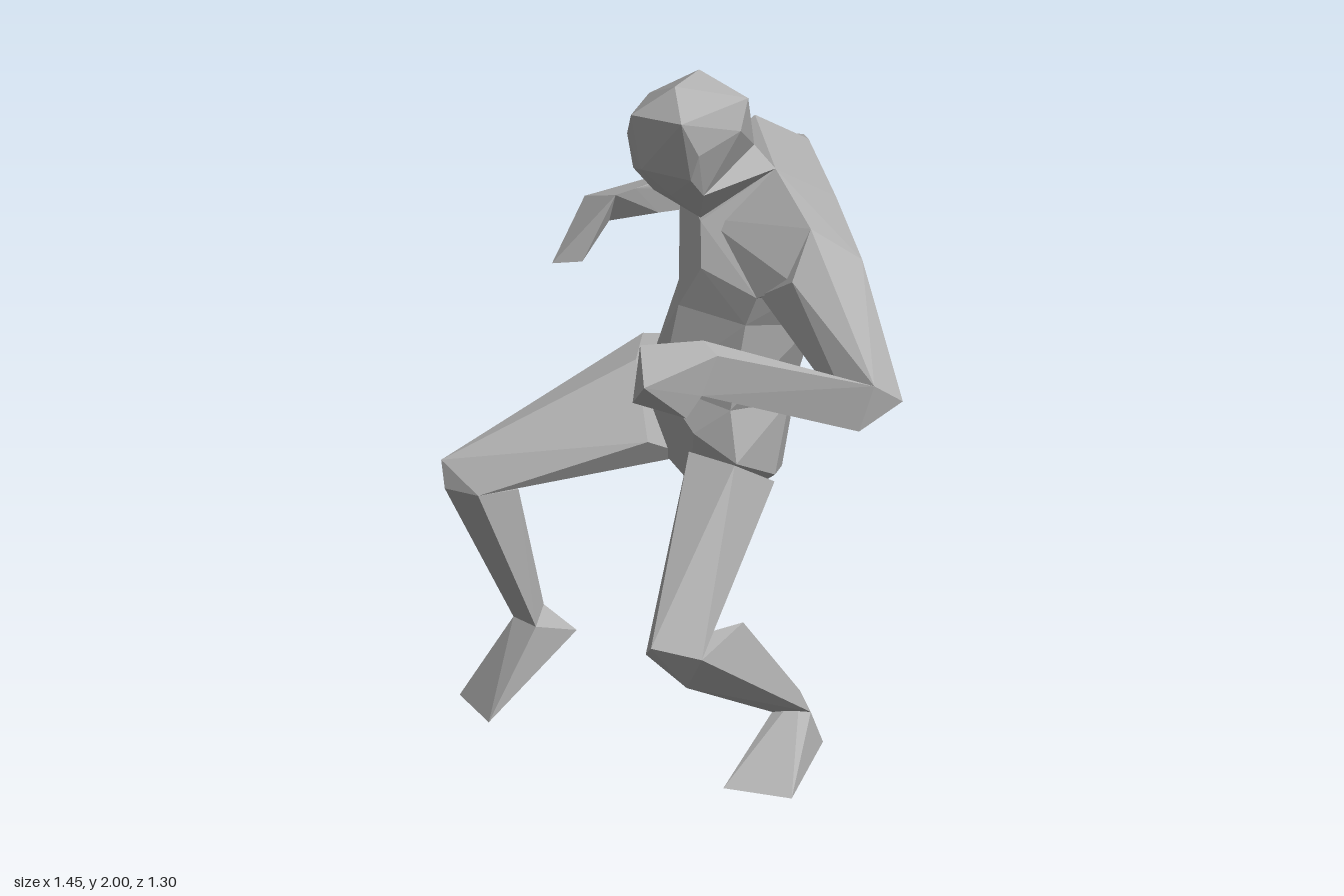
import * as THREE from 'three';
import { ConvexGeometry } from 'three/addons/geometries/ConvexGeometry.js';

export function createModel() {
  const model = new THREE.Group();
  const clay = new THREE.MeshStandardMaterial({ color: 0xb2b2b2, flatShading: true });
  clay.name = 'grey clay';

  // A faceted body part spanning one or more rings of corner points.
  const part = (name, ...rings) => {
    const points = rings.flat().map((p) => new THREE.Vector3(...p));
    const mesh = new THREE.Mesh(new ConvexGeometry(points), clay);
    mesh.name = name;
    model.add(mesh);
  };

  // Head, leaning forward
  const jaw = [[-0.07, 1.65, 0.16], [0.0, 1.66, 0.19], [0.11, 1.69, 0.21], [0.15, 1.77, 0.01], [0.0, 1.75, 0.01]];
  part('head', jaw, [
    [0.04, 2.0, 0.24], [0.04, 2.0, 0.11], [0.2, 1.96, 0.13], [0.1, 1.93, 0.31],
    [0.2, 1.88, 0.17], [-0.1, 1.91, 0.13], [-0.07, 1.91, 0.28], [-0.11, 1.83, 0.23],
    [0.08, 1.9, 0.03], [-0.06, 1.85, 0.04], [-0.13, 1.8, 0.16], [-0.12, 1.71, 0.18],
    [0.13, 1.83, 0.27], [0.16, 1.8, 0.1], [0.1, 1.75, 0.26], [-0.05, 1.75, 0.26],
  ]);
  part('neck', jaw, [
    [-0.08, 1.62, 0.02], [0.05, 1.58, 0.12], [0.22, 1.72, 0.02], [0.04, 1.73, -0.06],
  ]);

  // Torso rings, twisted from shoulders to hips
  const shoulders = [
    [0.22, 1.72, 0.02], [0.01, 1.73, -0.24], [0.3, 1.59, -0.16], [0.5, 1.53, 0.05],
    [0.11, 1.64, -0.35], [0.0, 1.62, -0.37], [-0.13, 1.54, -0.15], [-0.08, 1.62, 0.0],
    [0.05, 1.57, 0.12], [0.08, 1.46, 0.17], [0.26, 1.42, 0.19],
  ];
  const ribs = [
    [-0.12, 1.34, -0.1], [0.0, 1.33, 0.15], [0.22, 1.33, 0.18],
    [0.35, 1.31, 0.05], [0.19, 1.31, -0.27], [-0.05, 1.31, -0.27],
  ];
  const waist = [
    [-0.18, 1.1, -0.05], [-0.12, 1.1, -0.17], [-0.04, 1.1, 0.17], [0.18, 1.08, 0.19],
    [0.25, 1.05, 0.0], [0.19, 1.1, -0.17], [0.0, 1.1, -0.19],
  ];
  const pelvis = [
    [-0.22, 0.95, -0.07], [-0.2, 0.85, -0.03], [0.02, 0.81, 0.12], [0.08, 1.0, 0.21],
    [0.21, 0.94, 0.21], [0.23, 0.85, 0.04], [0.16, 0.8, -0.12], [-0.08, 0.8, -0.12],
    [0.13, 0.77, 0.02],
  ];
  part('chest', shoulders, ribs);
  part('abdomen', ribs, waist);
  part('hips', waist, pelvis);

  // Left arm, bent across the front
  const leftElbow = [[0.69, 1.31, 0.32], [0.725, 1.24, 0.23], [0.655, 1.18, 0.34]];
  const leftWrist = [[0.24, 1.39, 0.44], [0.3, 1.37, 0.47], [0.27, 1.26, 0.5], [0.22, 1.26, 0.45]];
  part('leftShoulder', [
    [0.22, 1.72, 0.02], [0.395, 1.63, 0.14], [0.5, 1.53, 0.05], [0.3, 1.59, -0.16],
    [0.05, 1.57, 0.1], [0.26, 1.42, 0.19], [0.39, 1.5, 0.22], [0.33, 1.39, 0.06],
  ]);
  part('leftUpperArm', [
    [0.395, 1.63, 0.14], [0.5, 1.53, 0.05], [0.3, 1.57, -0.1],
    [0.27, 1.43, 0.19], [0.39, 1.51, 0.23], [0.4, 1.42, 0.22], [0.33, 1.39, 0.06],
  ], leftElbow);
  part('leftForearm', leftElbow, leftWrist);
  part('leftHand', leftWrist, [
    [0.1, 1.38, 0.53], [0.1, 1.23, 0.57], [0.24, 1.2, 0.53], [0.18, 1.32, 0.65],
  ]);

  // Right arm, drawn back with the forearm swung outward
  const rightElbow = [
    [-0.165, 1.465, -0.64], [-0.06, 1.4, -0.65], [-0.08, 1.335, -0.63],
    [-0.16, 1.34, -0.58], [-0.16, 1.46, -0.5],
  ];
  const rightWrist = [
    [-0.37, 1.42, -0.375], [-0.34, 1.45, -0.22], [-0.31, 1.36, -0.29],
  ];
  const rightPalm = [[-0.5, 1.39, -0.23], [-0.375, 1.44, -0.175], [-0.42, 1.34, -0.22]];
  part('rightUpperArm', [
    [0.11, 1.64, -0.35], [0.05, 1.61, -0.43], [-0.07, 1.62, -0.38],
    [-0.125, 1.52, -0.18], [-0.12, 1.42, -0.2], [0.04, 1.46, -0.3],
  ], rightElbow.slice(0, 2), [[-0.16, 1.38, -0.52]]);
  part('rightForearm', rightElbow, rightWrist);
  part('rightPalm', rightWrist, rightPalm);
  part('rightFingers', rightPalm, [[-0.525, 1.24, -0.1], [-0.45, 1.25, -0.13]]);

  // Left leg, knee forward and foot tucked back
  const leftKnee = [[0.15, 0.53, 0.56], [0.27, 0.5, 0.5], [0.1, 0.48, 0.5], [0.22, 0.48, 0.46]];
  const leftAnkle = [[0.17, 0.12, -0.05], [0.27, 0.13, -0.08], [0.22, 0.17, -0.11]];
  part('leftThigh', [
    [0.21, 0.94, 0.22], [0.06, 0.94, 0.2], [0.24, 0.84, 0.06],
    [0.02, 0.81, 0.12], [0.15, 0.755, 0.08],
  ], leftKnee);
  part('leftShin', leftKnee, [[0.19, 0.38, 0.44], [0.23, 0.49, 0.21]], leftAnkle);
  part('leftFoot', leftAnkle, [
    [0.17, 0, 0.21], [0.36, 0, 0.18], [0.27, 0.02, -0.145], [0.16, 0.02, -0.1],
  ]);

  // Right leg, raised out to the side
  const rightKnee = [
    [-0.625, 0.81, 0.3], [-0.565, 0.865, 0.42], [-0.56, 0.78, 0.41], [-0.47, 0.77, 0.39],
  ];
  const rightAnkle = [[-0.585, 0.25, 0.0], [-0.5, 0.25, 0.03], [-0.51, 0.29, -0.03]];
  part('rightThigh', [
    [-0.25, 1.1, -0.1], [-0.18, 1.1, 0.06], [-0.12, 1.1, -0.17], [-0.11, 0.9, 0.12],
    [-0.21, 0.84, -0.03], [-0.05, 0.83, 0.0], [-0.1, 0.82, -0.11],
  ], rightKnee);
  part('rightShin', rightKnee, [[-0.49, 0.69, 0.14]], rightAnkle);
  part('rightFoot', rightAnkle, [
    [-0.725, 0.01, 0.04], [-0.58, 0, 0.14], [-0.43, 0.22, -0.065], [-0.52, 0.22, -0.12],
  ]);

  return model;
}
